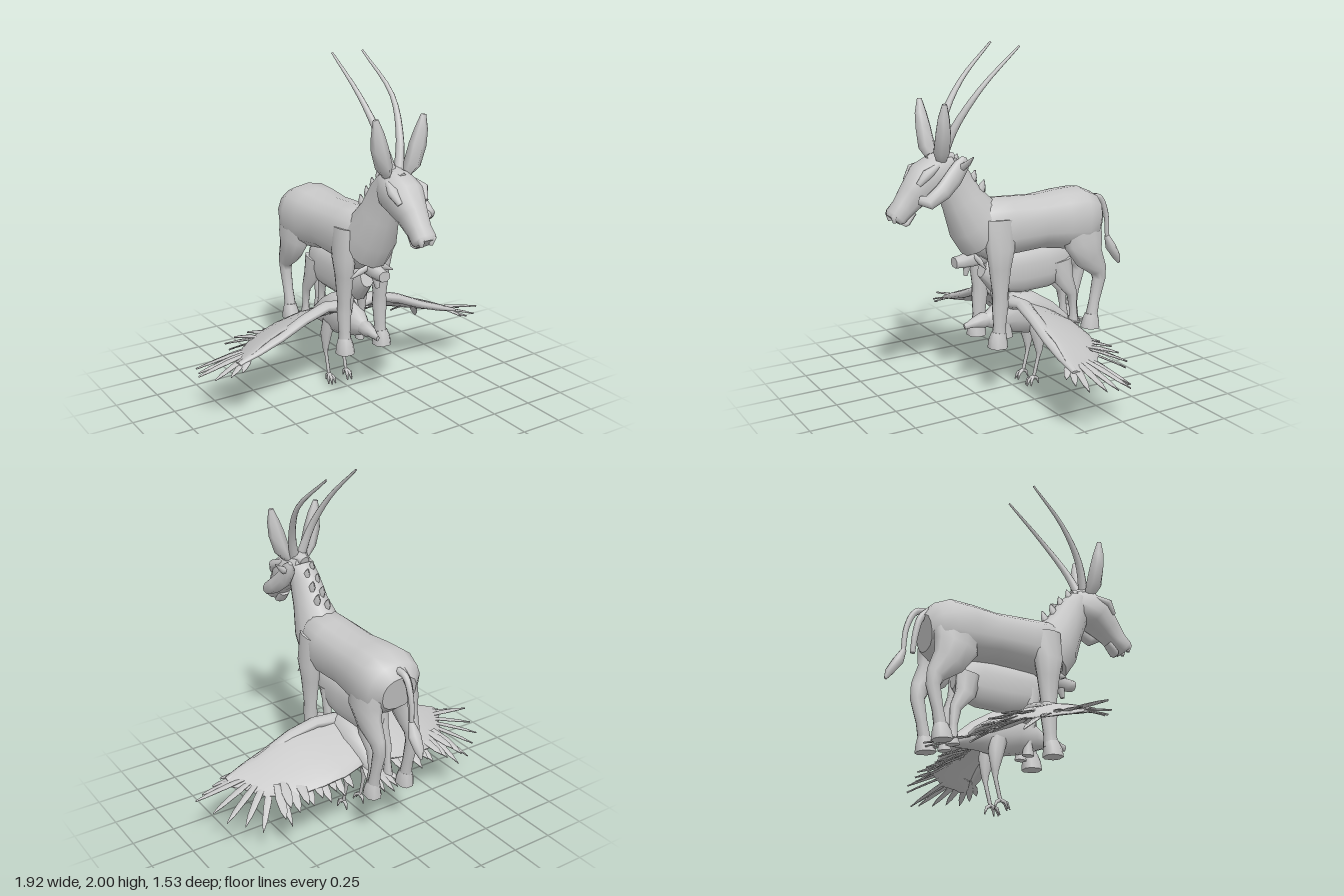
import * as THREE from 'three';

const V = (x, y, z) => new THREE.Vector3(x, y, z);
const grey = new THREE.MeshStandardMaterial({ color: 0xc8c8c8 });
grey.name = 'stone grey';

// Skin over elliptical rings [x, y, z, halfWidth, halfHeight]; p < 1 squares the section
function loft(rings, { sides = 10, ref = V(1, 0, 0), p = 1 } = {}) {
  const pos = [], idx = [], n = rings.length;
  const c = rings.map(r => V(r[0], r[1], r[2]));
  const pw = v => Math.sign(v) * Math.abs(v) ** p;
  for (let i = 0; i < n; i++) {
    const t = c[Math.min(i + 1, n - 1)].clone().sub(c[Math.max(i - 1, 0)]).normalize();
    const side = ref.clone().addScaledVector(t, -t.dot(ref)).normalize();
    const up = t.clone().cross(side);
    for (let j = 0; j < sides; j++) {
      const a = (j + 0.5) / sides * Math.PI * 2;
      const v = c[i].clone().addScaledVector(side, rings[i][3] * pw(Math.cos(a)))
        .addScaledVector(up, rings[i][4] * pw(Math.sin(a)));
      pos.push(v.x, v.y, v.z);
    }
  }
  for (let i = 0; i < n - 1; i++) for (let j = 0; j < sides; j++) {
    const a = i * sides + j, b = i * sides + (j + 1) % sides;
    idx.push(a, b, a + sides, b, b + sides, a + sides);
  }
  // end caps with their own vertices, so the rim stays crisp
  for (const [i, flip] of [[0, true], [n - 1, false]]) {
    const s = pos.length / 3;
    for (let j = 0; j < sides; j++) pos.push(...pos.slice((i * sides + j) * 3, (i * sides + j) * 3 + 3));
    pos.push(c[i].x, c[i].y, c[i].z);
    for (let j = 0; j < sides; j++) {
      const k = s + (j + 1) % sides;
      idx.push(s + sides, flip ? k : s + j, flip ? s + j : k);
    }
  }
  const g = new THREE.BufferGeometry();
  g.setAttribute('position', new THREE.Float32BufferAttribute(pos, 3));
  g.setIndex(idx);
  g.computeVertexNormals();
  return g;
}

export function createModel() {
  const model = new THREE.Group();
  model.name = 'stackedAnimals';
  const add = (name, geo) => {
    const m = new THREE.Mesh(geo, grey);
    m.name = name;
    model.add(m);
    return m;
  };
  const part = (name, rings, opt) => add(name, loft(rings, opt));
  // same part mirrored to the given side
  const sided = (s, name, rings, opt) =>
    part((s > 0 ? 'left' : 'right') + name, rings.map(r => [r[0] * s, ...r.slice(1)]), opt);
  // smooth tapering strand through a few points
  const strand = (name, pts, r0, r1, sides = 8) => {
    const k = 12, ps = new THREE.CatmullRomCurve3(pts.map(q => V(...q))).getPoints(k);
    return part(name, ps.map((q, i) => {
      const r = r0 + (r1 - r0) * (i / k);
      return [q.x, q.y, q.z, r, r];
    }), { sides });
  };
  // flat pointed feather
  const feather = (name, a, b, w) => {
    const A = V(...a), B = V(...b), d = B.clone().sub(A);
    const rings = [[0, 0.6], [0.45, 1], [0.8, 0.7], [1, 0.05]].map(([t, k]) => {
      const q = A.clone().addScaledVector(d, t);
      return [q.x, q.y + 0.02 * t * (1 - t), q.z, w * k, 0.005];
    });
    part(name, rings, { sides: 6, ref: d.cross(V(0, 1, 0)).normalize() });
  };

  // Large horned animal: trunk, neck, head
  part('trunk', [[0, 0.98, 0.28, 0.1, 0.12], [0, 0.98, 0.19, 0.15, 0.18], [0, 0.985, 0.05, 0.165, 0.165],
    [0, 0.985, -0.15, 0.165, 0.155], [0, 0.98, -0.3, 0.18, 0.175], [0, 0.975, -0.42, 0.19, 0.185],
    [0, 0.96, -0.5, 0.17, 0.16], [0, 0.95, -0.55, 0.11, 0.1]], { sides: 14, p: 0.85 });
  part('neck', [[0, 0.95, 0.18, 0.14, 0.17], [0, 1.04, 0.25, 0.135, 0.16], [0, 1.17, 0.325, 0.1, 0.12],
    [0, 1.29, 0.385, 0.085, 0.105], [0, 1.36, 0.43, 0.08, 0.08]], { sides: 12 });
  part('head', [[0, 1.36, 0.38, 0.065, 0.07], [0, 1.33, 0.46, 0.105, 0.11], [0, 1.295, 0.545, 0.11, 0.105],
    [0, 1.22, 0.62, 0.08, 0.08], [0, 1.155, 0.68, 0.065, 0.062], [0, 1.115, 0.722, 0.07, 0.056],
    [0, 1.1, 0.735, 0.05, 0.042]], { sides: 12, p: 0.85 });
  part('chin', [[0, 1.13, 0.62, 0.035, 0.02], [0, 1.075, 0.665, 0.04, 0.022], [0, 1.06, 0.675, 0.02, 0.012]]);
  part('forelock', [[0, 1.4, 0.38, 0.03, 0.03], [0, 1.42, 0.45, 0.06, 0.03], [0, 1.41, 0.53, 0.02, 0.015]]);

  for (const s of [1, -1]) {
    sided(s, 'Ear', [[0.06, 1.4, 0.47, 0.02, 0.03], [0.09, 1.46, 0.485, 0.045, 0.05], [0.12, 1.56, 0.49, 0.048, 0.045],
      [0.137, 1.64, 0.495, 0.035, 0.035], [0.15, 1.715, 0.495, 0.014, 0.014]], { sides: 6 });
    sided(s, 'Brow', [[0.075, 1.38, 0.5, 0.015, 0.015], [0.095, 1.345, 0.575, 0.03, 0.028], [0.08, 1.29, 0.62, 0.015, 0.015]]);
    sided(s, 'Nostril', [[0.03, 1.17, 0.71, 0.015, 0.015], [0.035, 1.125, 0.745, 0.024, 0.02], [0.03, 1.09, 0.74, 0.01, 0.01]]);
    sided(s, 'FrontLeg', [[0.11, 1.05, 0.14, 0.05, 0.1], [0.125, 0.88, 0.15, 0.055, 0.09], [0.12, 0.78, 0.15, 0.047, 0.07],
      [0.12, 0.62, 0.15, 0.036, 0.047], [0.12, 0.56, 0.15, 0.04, 0.05], [0.12, 0.44, 0.155, 0.032, 0.038],
      [0.122, 0.37, 0.16, 0.038, 0.045]]);
    sided(s, 'FrontHoof', [[0.122, 0.4, 0.16, 0.035, 0.042], [0.125, 0.36, 0.168, 0.046, 0.052],
      [0.125, 0.315, 0.17, 0.052, 0.056]], { sides: 8, p: 0.8 });
    sided(s, 'HindLeg', [[0.1, 1.0, -0.4, 0.07, 0.14], [0.12, 0.85, -0.41, 0.068, 0.13], [0.12, 0.76, -0.45, 0.055, 0.095],
      [0.115, 0.67, -0.52, 0.04, 0.055], [0.11, 0.61, -0.53, 0.034, 0.042], [0.11, 0.48, -0.5, 0.03, 0.032],
      [0.11, 0.38, -0.48, 0.035, 0.036]]);
    sided(s, 'HindHoof', [[0.11, 0.4, -0.48, 0.034, 0.038], [0.112, 0.36, -0.475, 0.044, 0.05],
      [0.112, 0.315, -0.47, 0.048, 0.058]], { sides: 8, p: 0.8 });
  }
  strand('leftHorn', [[0.02, 1.39, 0.46], [0.07, 1.57, 0.4], [0.115, 1.78, 0.26], [0.09, 1.99, 0.01]], 0.03, 0.006);
  strand('rightHorn', [[-0.01, 1.39, 0.46], [-0.06, 1.6, 0.4], [-0.1, 1.8, 0.27], [-0.135, 2.0, 0.06]], 0.03, 0.006);

  // Mane tufts down the back of the neck
  for (let i = 0; i < 7; i++) {
    const t = i / 6, y = 1.37 - 0.18 * t, z = 0.345 - 0.165 * t, x = 0.025 * (i % 2 ? 1 : -1);
    part('maneTuft', [[x, y - 0.03, z + 0.02, 0.018, 0.03], [x, y + 0.01, z, 0.016, 0.024],
      [x, y + 0.045, z - 0.012, 0.003, 0.004]], { sides: 6 });
  }

  // Small creature clinging to the left cheek
  part('cheekCreature', [[0.09, 1.21, 0.62, 0.025, 0.025], [0.125, 1.2, 0.58, 0.042, 0.04], [0.125, 1.25, 0.5, 0.04, 0.05],
    [0.11, 1.31, 0.43, 0.035, 0.055], [0.11, 1.38, 0.38, 0.035, 0.045], [0.11, 1.42, 0.36, 0.012, 0.015]]);
  part('cheekSpike', [[0.11, 1.36, 0.39, 0.025, 0.025], [0.16, 1.39, 0.375, 0.022, 0.018], [0.21, 1.435, 0.36, 0.003, 0.003]],
    { sides: 6, ref: V(0, 0, 1) });

  // Tail with tuft, and a shorter strand beside it
  strand('tail', [[0, 1.08, -0.53], [0, 1.07, -0.6], [0, 0.97, -0.65], [0, 0.8, -0.665]], 0.022, 0.013);
  part('tailTuft', [[0, 0.83, -0.66, 0.015, 0.015], [0, 0.76, -0.69, 0.038, 0.03], [0, 0.69, -0.735, 0.028, 0.024],
    [0, 0.645, -0.755, 0.006, 0.008]], { sides: 8 });
  strand('tailStrand', [[-0.02, 1.08, -0.53], [-0.03, 1.02, -0.585], [-0.03, 0.92, -0.61], [-0.025, 0.81, -0.62]], 0.024, 0.014);

  // Middle animal standing under the belly
  part('middleTrunk', [[0, 0.75, 0.2, 0.04, 0.05], [0, 0.72, 0.12, 0.065, 0.12], [0, 0.71, -0.05, 0.075, 0.135],
    [0, 0.715, -0.22, 0.075, 0.135], [0, 0.73, -0.32, 0.07, 0.12], [0, 0.73, -0.37, 0.04, 0.07]], { sides: 12, p: 0.85 });
  part('middleHead', [[0, 0.83, 0.18, 0.04, 0.05], [0, 0.82, 0.27, 0.045, 0.045], [0, 0.81, 0.33, 0.036, 0.036],
    [0, 0.81, 0.375, 0.036, 0.03]], { sides: 8, p: 0.8 });
  part('middleJaw', [[0, 0.8, 0.29, 0.03, 0.03], [0, 0.725, 0.305, 0.012, 0.012]], { sides: 6 });
  for (const s of [1, -1]) {
    sided(s, 'MiddleEar', [[0.03, 0.84, 0.26, 0.015, 0.012], [0.08, 0.82, 0.255, 0.02, 0.012], [0.14, 0.79, 0.25, 0.004, 0.004]],
      { sides: 6, ref: V(0, 1, 0) });
    sided(s, 'MiddleHindLeg', [[0.05, 0.74, -0.3, 0.035, 0.075], [0.055, 0.62, -0.32, 0.035, 0.06], [0.055, 0.53, -0.375, 0.024, 0.034],
      [0.055, 0.43, -0.385, 0.02, 0.022], [0.055, 0.36, -0.39, 0.026, 0.03], [0.055, 0.32, -0.385, 0.03, 0.04]], { sides: 8 });
    sided(s, 'MiddleFrontLeg', [[0.04, 0.72, 0.1, 0.03, 0.05], [0.045, 0.55, 0.08, 0.022, 0.03], [0.045, 0.4, 0.06, 0.02, 0.022],
      [0.045, 0.33, 0.06, 0.026, 0.035]], { sides: 8 });
  }

  // Bird at the bottom: body, head, beak
  part('birdBody', [[0, 0.44, 0.19, 0.03, 0.035], [0, 0.45, 0.11, 0.065, 0.08], [0, 0.46, 0, 0.085, 0.12],
    [0, 0.44, -0.12, 0.085, 0.125], [0, 0.41, -0.24, 0.065, 0.08], [0, 0.36, -0.36, 0.04, 0.03]], { sides: 12 });
  part('birdHead', [[0, 0.44, 0.13, 0.035, 0.04], [0, 0.445, 0.2, 0.045, 0.045], [0, 0.44, 0.25, 0.03, 0.03],
    [0, 0.43, 0.29, 0.016, 0.02], [0, 0.425, 0.315, 0.01, 0.018]], { sides: 8 });
  for (let i = -2; i <= 2; i++) feather('birdTailFeather', [0.015 * i, 0.39, -0.26], [0.045 * i, 0.325, -0.53 + 0.03 * Math.abs(i)], 0.025);

  for (const s of [1, -1]) {
    // legs and toes
    sided(s, 'BirdLeg', [[0.055, 0.4, -0.12, 0.03, 0.05], [0.062, 0.31, -0.14, 0.03, 0.045], [0.063, 0.21, -0.145, 0.016, 0.02],
      [0.06, 0.17, -0.14, 0.01, 0.012], [0.06, 0.05, -0.11, 0.01, 0.01]], { sides: 8 });
    for (const [dx, dz] of [[-0.018, 0.045], [0.008, 0.05], [0.022, 0.03], [0, -0.035]])
      sided(s, 'BirdToe', [[0.06, 0.06, -0.11, 0.011, 0.011], [0.06 + dx * 0.7, 0.045, -0.11 + dz * 0.7, 0.01, 0.009],
        [0.06 + dx, 0.01, -0.11 + dz, 0.004, 0.004]], { sides: 6 });
    // wing sheet and the arm along its leading edge
    sided(s, 'Wing', [[0.03, 0.47, -0.12, 0.19, 0.03], [0.2, 0.46, -0.13, 0.215, 0.028], [0.33, 0.44, -0.125, 0.21, 0.024],
      [0.46, 0.41, -0.11, 0.19, 0.02], [0.58, 0.385, -0.055, 0.135, 0.016], [0.68, 0.365, 0.015, 0.07, 0.012],
      [0.74, 0.345, 0.03, 0.03, 0.008]], { sides: 12, ref: V(0, 0.4, 0.92) });
    sided(s, 'WingArm', [[0.02, 0.53, 0.03, 0.05, 0.04], [0.17, 0.555, 0.03, 0.045, 0.03], [0.32, 0.515, 0.045, 0.04, 0.028],
      [0.48, 0.445, 0.05, 0.04, 0.024], [0.62, 0.395, 0.055, 0.035, 0.02], [0.74, 0.355, 0.06, 0.018, 0.01]],
      { sides: 8, ref: V(0, 0, 1) });
    // trailing feathers
    for (let i = 0; i < 10; i++) {
      const x = 0.17 + 0.042 * i;
      feather('trailingFeather', [s * x, 0.41 - 0.004 * i, -0.17], [s * (x + 0.012 * i * 0.6), 0.325 - 0.04 * (i % 2), -0.375 + 0.012 * (i % 3)], 0.032);
    }
    // long outer feathers fanning from the wrist
    const tips = [[0.58, 0.235, -0.39], [0.72, 0.2, -0.31], [0.8, 0.24, -0.26], [0.88, 0.26, -0.2], [0.91, 0.28, -0.1],
      [0.96, 0.315, 0.01], [0.89, 0.3, 0.07], [0.81, 0.31, 0.1], [0.75, 0.33, 0.12]];
    tips.forEach(([x, y, z], i) => feather('outerFeather',
      [s * (0.52 + 0.018 * i), 0.375, -0.12 + 0.021 * i], [s * x, y, z], 0.024));
  }
  return model;
}
